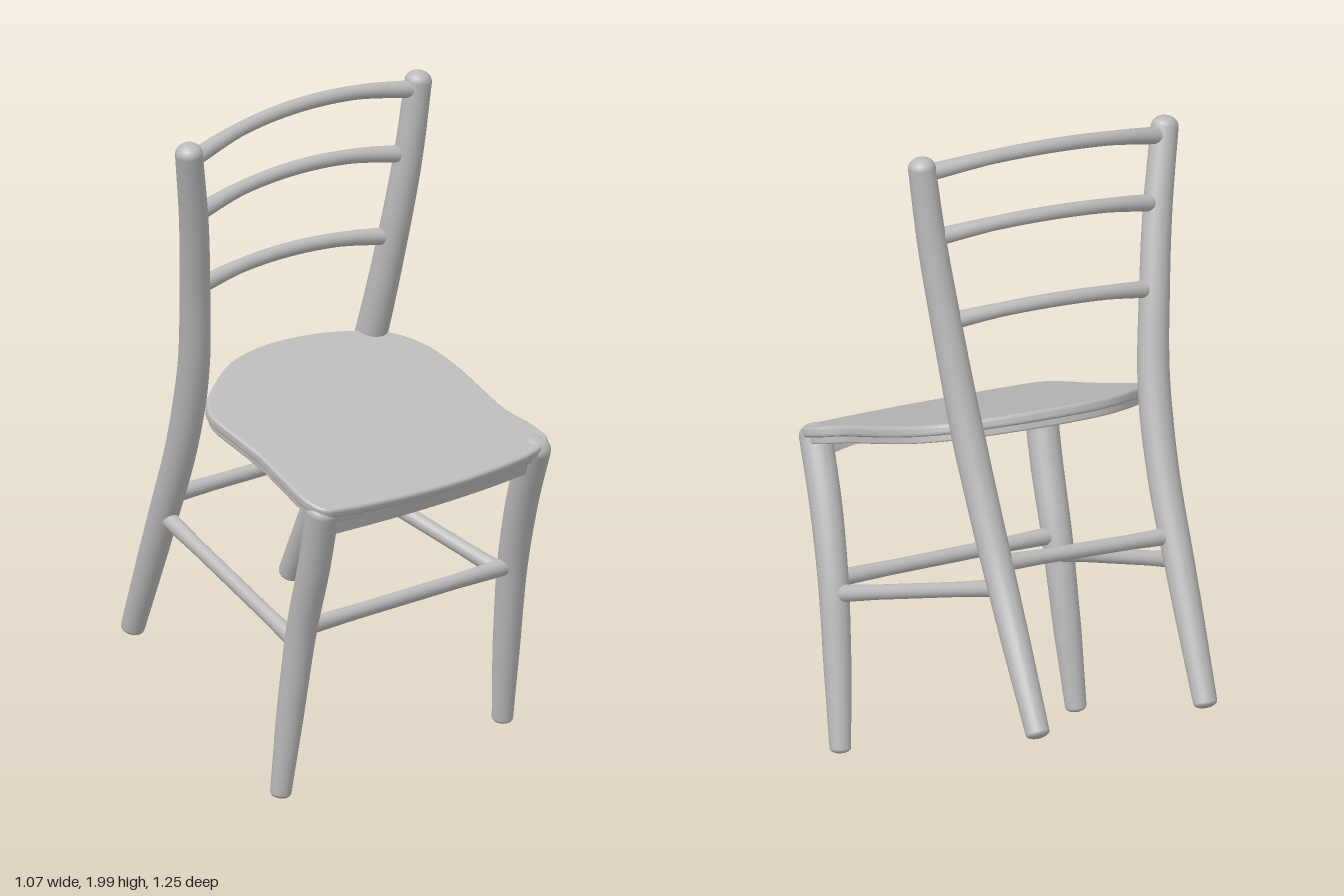
import * as THREE from 'three';
import { mergeGeometries } from 'three/addons/utils/BufferGeometryUtils.js';

const V = (p) => new THREE.Vector3(...p);

// Round bar along a smooth path: radii are spread evenly along it, ends are domed by cap = [start, end]
function bar(points, radii, cap) {
  const curve = new THREE.CatmullRomCurve3(points.map(V));
  const n = 40, sides = 20;
  const tube = new THREE.TubeGeometry(curve, n, 1, sides);
  const pos = tube.attributes.position;
  const v = new THREE.Vector3();
  const radiusAt = (t) => {
    const f = t * (radii.length - 1), i = Math.min(Math.floor(f), radii.length - 2);
    return THREE.MathUtils.lerp(radii[i], radii[i + 1], f - i);
  };
  for (let i = 0; i <= n; i++) {
    const c = curve.getPointAt(i / n);
    for (let j = 0; j <= sides; j++) {
      const k = i * (sides + 1) + j;
      v.fromBufferAttribute(pos, k).sub(c).multiplyScalar(radiusAt(i / n)).add(c);
      pos.setXYZ(k, v.x, v.y, v.z);
    }
  }
  const caps = [0, 1].map((t) => {
    const r = radiusAt(t), p = curve.getPointAt(t);
    const q = new THREE.Quaternion().setFromUnitVectors(new THREE.Vector3(0, 1, 0), curve.getTangentAt(t));
    return new THREE.SphereGeometry(r, sides, 12).scale(1, cap[t], 1).applyQuaternion(q).translate(p.x, p.y, p.z);
  });
  return mergeGeometries([tube, ...caps]);
}

export function createModel() {
  const chair = new THREE.Group();
  chair.name = 'chair';
  const grey = new THREE.MeshStandardMaterial({ color: 0xbababa });
  grey.name = 'plain grey';
  const add = (name, geometry, parent = chair) => {
    const mesh = new THREE.Mesh(geometry, grey);
    mesh.name = name;
    parent.add(mesh);
    return mesh;
  };

  // Back posts, from top to foot
  const postRadii = [0.04, 0.043, 0.045, 0.048, 0.046, 0.042, 0.035];
  add('rightBackPost', bar([
    [-0.5, 1.885, 0.14], [-0.45, 1.66, 0.07], [-0.415, 1.45, 0.005], [-0.385, 1.19, -0.065],
    [-0.378, 0.94, -0.155], [-0.385, 0.7, -0.265], [-0.395, 0.335, -0.44]], postRadii, [0.8, 0.5]));
  add('leftBackPost', bar([
    [0.322, 1.962, -0.045], [0.3, 1.74, -0.065], [0.272, 1.5, -0.105], [0.24, 1.2, -0.18],
    [0.215, 0.96, -0.265], [0.197, 0.75, -0.365], [0.182, 0.395, -0.592]], postRadii, [0.8, 0.5]));

  // Front legs, from top to foot
  const legRadii = [0.048, 0.047, 0.044, 0.04, 0.031];
  add('rightFrontLeg', bar([
    [-0.285, 0.9, 0.572], [-0.28, 0.72, 0.505], [-0.282, 0.52, 0.43], [-0.29, 0.3, 0.383],
    [-0.305, 0.018, 0.34]], legRadii, [0.7, 0.5]));
  add('leftFrontLeg', bar([
    [0.468, 0.965, 0.415], [0.472, 0.785, 0.325], [0.48, 0.575, 0.245], [0.488, 0.36, 0.195],
    [0.5, 0.1, 0.14]], legRadii, [0.7, 0.5]));

  // Straight stretchers between the legs
  const stretchers = {
    frontStretcher: [[-0.28, 0.523, 0.43], [0.47, 0.58, 0.25]],
    backStretcher: [[-0.385, 0.772, -0.225], [0.2, 0.822, -0.335]],
    rightStretcher: [[-0.283, 0.47, 0.415], [-0.386, 0.71, -0.262]],
    leftStretcher: [[0.478, 0.54, 0.235], [0.198, 0.757, -0.362]],
  };
  for (const [name, [a, b]] of Object.entries(stretchers)) {
    add(name, bar([a, b], [0.026, 0.022, 0.022, 0.022, 0.026], [0.5, 0.5]));
  }

  // Bowed back rails
  const rails = [
    ['lowerBackRail', [-0.415, 1.445, 0.005], [0.27, 1.495, -0.105], 0.03],
    ['middleBackRail', [-0.455, 1.68, 0.075], [0.3, 1.745, -0.065], 0.04],
    ['topBackRail', [-0.49, 1.862, 0.13], [0.318, 1.94, -0.042], 0.045],
  ];
  for (const [name, a, b, bow] of rails) {
    const path = [0, 0.25, 0.5, 0.75, 1].map((t) => {
      const k = bow * 4 * t * (1 - t);
      return V(a).lerp(V(b), t).add(new THREE.Vector3(0, k, -k)).toArray();
    });
    add(name, bar(path, [0.026, 0.021, 0.021, 0.021, 0.026], [0.5, 0.5]));
  }

  // Tilted seat group: its surface is the local plane y = 0
  const tilt = 0.346;
  const seatGroup = new THREE.Group();
  seatGroup.name = 'seatGroup';
  seatGroup.rotation.x = tilt;
  seatGroup.position.y = 1.144;
  chair.add(seatGroup);

  const outline = [
    [-0.335, 0.57], [-0.3, 0.62], [-0.24, 0.625], [0, 0.597], [0.22, 0.55], [0.45, 0.47], [0.51, 0.42],
    [0.5, 0.355], [0.452, 0.26], [0.43, 0.15], [0.405, 0.03], [0.36, -0.08], [0.28, -0.155], [0.15, -0.185],
    [0.02, -0.187], [-0.12, -0.163], [-0.24, -0.11], [-0.34, -0.02], [-0.41, 0.07], [-0.425, 0.13],
    [-0.4, 0.23], [-0.37, 0.34], [-0.355, 0.45]];
  const edge = new THREE.CatmullRomCurve3(
    outline.map(([x, z]) => new THREE.Vector3(x, z / Math.cos(tilt), 0)), true).getPoints(110);
  edge.pop();
  const scaled = (s) => edge.map((p) => new THREE.Vector2(0.04 + (p.x - 0.04) * s, 0.24 + (p.y - 0.24) * s));
  const slab = (shape, depth, bevel, top) => new THREE.ExtrudeGeometry(shape, {
    depth: depth - 2 * bevel, bevelThickness: bevel, bevelSize: bevel, bevelOffset: -bevel, bevelSegments: 3,
  }).rotateX(Math.PI / 2).translate(0, top - bevel, 0);

  add('seat', slab(new THREE.Shape(scaled(1)), 0.032, 0.01, 0), seatGroup);

  // Rim under the seat, open in the middle
  const rim = new THREE.Shape(scaled(0.975));
  rim.holes.push(new THREE.Path(scaled(0.84).reverse()));
  add('seatRim', slab(rim, 0.03, 0.005, -0.022), seatGroup);

  // Bowed front apron with an arched lower edge
  const apron = new THREE.BoxGeometry(0.76, 0.085, 0.035, 24, 1, 1);
  const p = apron.attributes.position;
  for (let i = 0; i < p.count; i++) {
    const k = 1 - (p.getX(i) / 0.38) ** 2;
    p.setZ(i, p.getZ(i) + 0.05 * k);
    if (p.getY(i) < 0) p.setY(i, p.getY(i) + 0.03 * k);
  }
  apron.computeVertexNormals();
  apron.rotateY(0.25).translate(0.1, -0.055, 0.54);
  add('frontApron', apron, seatGroup);

  return chair;
}
